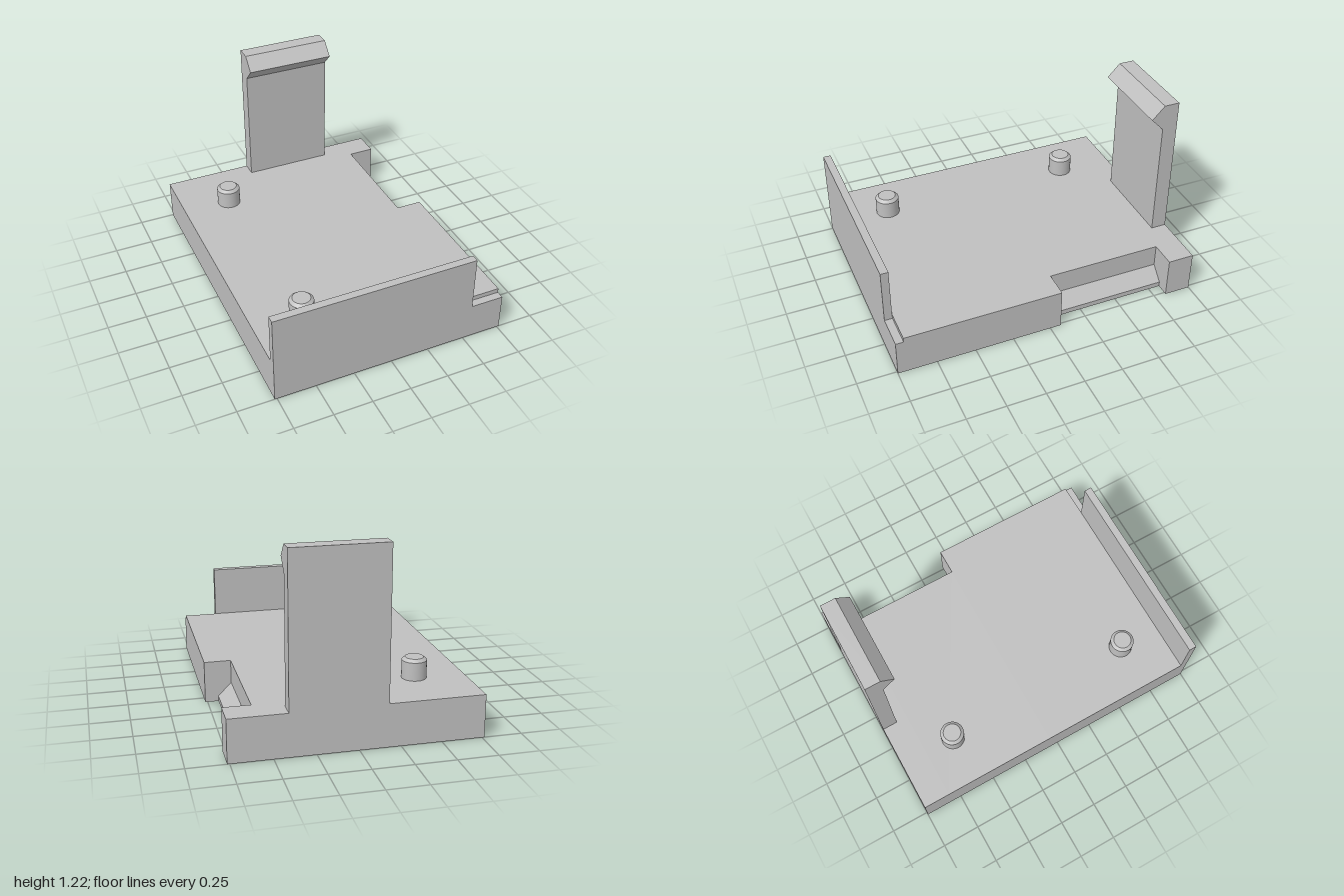
import * as THREE from 'three';

const grey = new THREE.MeshStandardMaterial({ color: 0xc0c0c0 });
grey.name = 'light grey';

// Extrude a closed outline along +z by the given depth
function extrude(points, depth) {
  const shape = new THREE.Shape(points.map(([a, b]) => new THREE.Vector2(a, b)));
  return new THREE.ExtrudeGeometry(shape, { depth, bevelEnabled: false });
}

export function createModel() {
  const model = new THREE.Group();
  const add = (name, geometry) => {
    const mesh = new THREE.Mesh(geometry, grey);
    mesh.name = name;
    model.add(mesh);
    return mesh;
  };

  const W = 0.765, H = 0.27;

  // Base tray and front wall: cross-sections (x, y) swept between z0 and z1
  const full = [[-W, 0], [W, 0], [W, H], [-W, H]];
  const notched = [[-W, 0], [0.68, 0], [0.68, 0.034], [0.595, 0.12], [0.595, H], [-W, H]];
  const walled = [[-W, 0], [W, 0], [W, 0.24], [0.548, 0.24], [0.548, 0.602], [-W, 0.602]];
  const sections = [
    ['baseBack', full, -1, -0.828],
    ['baseSideNotch', notched, -0.828, -0.072],
    ['baseFront', full, -0.072, 0.95],
    ['frontWall', walled, 0.95, 1],
  ];
  for (const [name, outline, z0, z1] of sections) {
    add(name, extrude(outline, z1 - z0).translate(0, 0, z0));
  }

  // Rear clip with a hooked tip: outline is (z, y), swept across x
  const clip = [[-1, H], [-0.9, H], [-0.9, 1.046], [-0.818, 1.13], [-0.9, 1.215], [-1, 1.215]];
  add('rearClip', extrude(clip, 0.587).rotateY(-Math.PI / 2).translate(0.412, 0, 0));

  // Locating pegs with chamfered tops
  const R = 0.077, T = 0.057;
  for (const z of [-0.625, 0.665]) {
    const peg = new THREE.Group();
    peg.name = 'peg';
    const parts = [
      ['pegShaft', new THREE.CylinderGeometry(R, R, 0.115, 40, 1, true).translate(0, 0.0575, 0)],
      ['pegTop', new THREE.CylinderGeometry(T, R, 0.018, 40).translate(0, 0.124, 0)],
    ];
    for (const [name, geometry] of parts) peg.add(add(name, geometry));
    peg.position.set(-0.447, H, z);
    model.add(peg);
  }
  return model;
}
